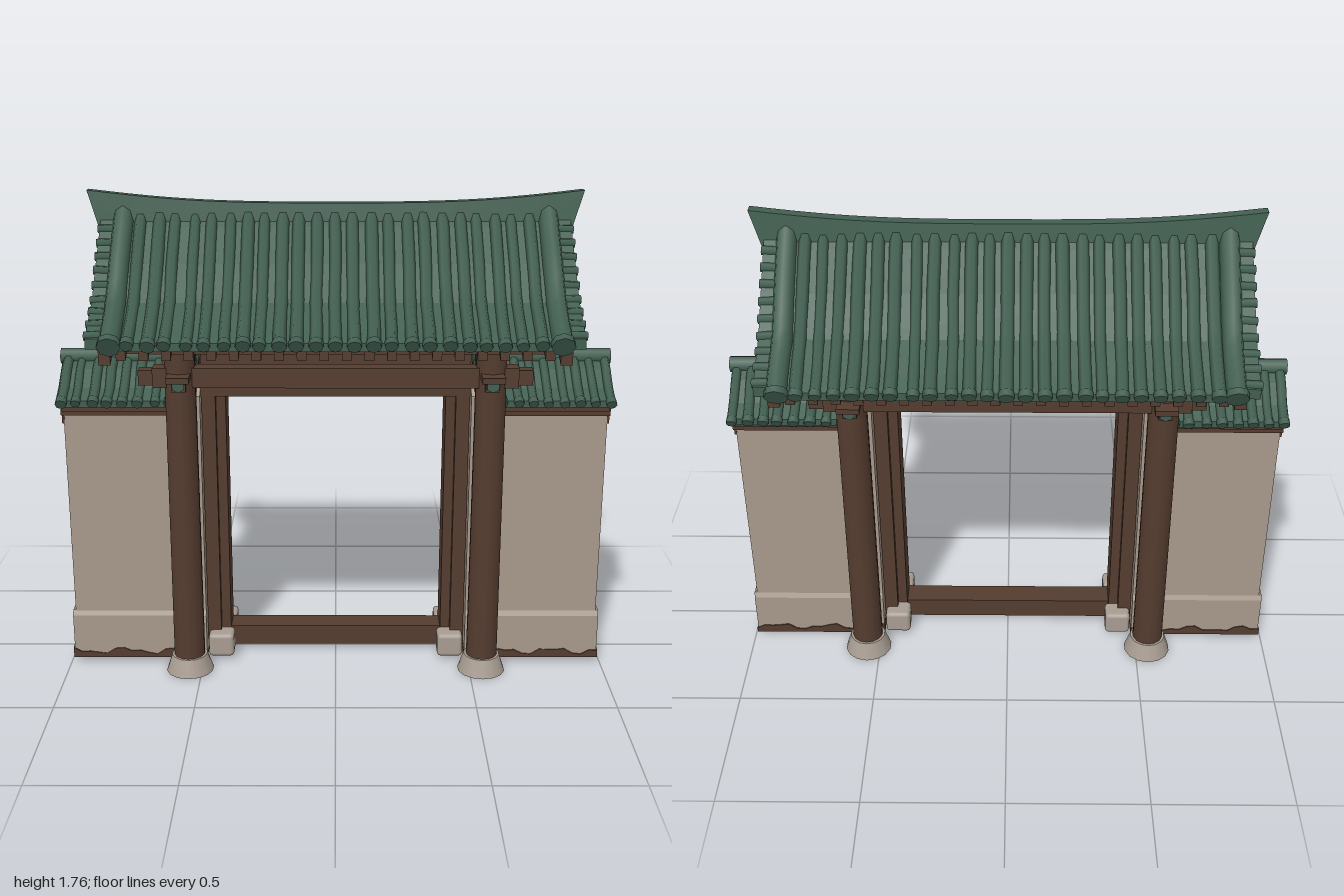
import * as THREE from 'three';
import { mergeGeometries } from 'three/addons/utils/BufferGeometryUtils.js';
import { RoundedBoxGeometry } from 'three/addons/geometries/RoundedBoxGeometry.js';

const mat = (name, color) => Object.assign(new THREE.MeshStandardMaterial({ color }), { name });
const SIDES = [-1, 1];

export function createModel() {
  const group = new THREE.Group();
  const tile = mat('greenTile', 0x425f51);
  const wood = mat('darkWood', 0x543c2f);
  const plaster = mat('plaster', 0xa89a8c);
  const stone = mat('stone', 0xa89d92);

  let seed = 7;
  const rnd = () => (seed = (seed * 16807) % 2147483647) / 2147483647 - 0.5;

  const add = (name, material, geos) => {
    const mesh = new THREE.Mesh(mergeGeometries(geos.map(g => (g.index ? g.toNonIndexed() : g))), material);
    mesh.name = name;
    group.add(mesh);
    return mesh;
  };
  // box given by its limits
  const box = (x0, x1, y0, y1, z0, z1) =>
    new THREE.BoxGeometry(Math.abs(x1 - x0), y1 - y0, Math.abs(z1 - z0))
      .translate((x0 + x1) / 2, (y0 + y1) / 2, (z0 + z1) / 2);
  // [z, y] outline pulled along x
  const extrudeX = (pts, xa, xb) => {
    const shape = new THREE.Shape(pts.map(p => new THREE.Vector2(p[0], p[1])));
    return new THREE.ExtrudeGeometry(shape, { depth: Math.abs(xb - xa), bevelEnabled: false })
      .rotateY(-Math.PI / 2).translate(Math.max(xa, xb), 0, 0);
  };
  // gabled sheet following a roof profile, between two depths below it
  const sheet = (prof, top, bottom, xa, xb, zMax) => {
    const half = prof.map(([z, y], i) => {
      if (z <= zMax) return [z, y];
      const [pz, py] = prof[i - 1];
      return [zMax, py + (y - py) * (zMax - pz) / (z - pz)];
    });
    const full = [...half.slice(1).reverse().map(([z, y]) => [-z, y]), ...half];
    return extrudeX([...full.map(([z, y]) => [z, y - top]),
      ...full.reverse().map(([z, y]) => [z, y - bottom])], xa, xb);
  };
  // round tile roll running down one slope, with an end disc
  const roll = (prof, x, side, r, sides = 6) => {
    const lean = rnd() * 0.008;
    const pts = prof.map(([z, y], i) =>
      new THREE.Vector3(x + lean * i / prof.length + rnd() * 0.003, y + rnd() * 0.004, side * z));
    const end = pts[pts.length - 1];
    return [
      new THREE.TubeGeometry(new THREE.CatmullRomCurve3(pts), 10, r, sides),
      new THREE.CylinderGeometry(r * 1.12, r * 1.12, 0.025, 8)
        .rotateX(Math.PI / 2 + side * 0.5).translate(end.x, end.y, end.z),
    ];
  };

  // ---- Main roof ----
  const P = [[0, 1.68], [0.05, 1.635], [0.167, 1.527], [0.284, 1.415], [0.4, 1.35], [0.47, 1.315]];
  add('roofTileBed', tile, [sheet(P, 0, 0.028, -0.72, 0.72, 0.465), 
    ...SIDES.map(s => sheet(P, -0.006, 0.03, s * 0.72, s * 0.825, 0.452))]);
  const rolls = [], verges = [], edgeTiles = [];
  for (const side of SIDES) {
    for (let i = 0; i < 23; i++) {
      rolls.push(...roll(P, -0.682 + i * 0.062 + rnd() * 0.01, side, 0.021 + rnd() * 0.005));
    }
    for (const s of SIDES) {
      verges.push(...roll(P, s * 0.747, side, 0.036, 8));
      // short tiles lying across the gable edge
      const curve = new THREE.CatmullRomCurve3(P.map(([z, y]) => new THREE.Vector3(0, y, side * z)));
      for (let k = 1; k < 10; k++) {
        const p = curve.getPointAt(k / 10 + 0.03);
        if (Math.abs(p.z) > 0.44) continue;
        edgeTiles.push(new THREE.CylinderGeometry(0.016, 0.016, 0.085, 6)
          .rotateZ(Math.PI / 2 + rnd() * 0.15).translate(s * 0.788, p.y + 0.002, p.z));
      }
    }
  }
  add('roofTileRolls', tile, rolls);
  add('vergeRolls', tile, verges);
  add('gableEdgeTiles', tile, edgeTiles);

  // ridge sweeping up into pointed ends
  const ridge = new THREE.BoxGeometry(1.66, 0.09, 0.056, 28, 2, 1);
  const rp = ridge.attributes.position;
  for (let i = 0; i < rp.count; i++) {
    const x = rp.getX(i), y = rp.getY(i), t = Math.abs(x) / 0.83;
    const up = (y + 0.045) / 0.09;
    rp.setXYZ(i, x * (1 + 0.05 * up * t ** 6), 1.67 + y + 0.045 * t ** 3 * up,
      rp.getZ(i) * (1.25 - 0.55 * up));
  }
  ridge.computeVertexNormals();
  add('roofRidge', tile, [ridge]);

  // boards, rafters and gable boards under the tiles
  add('roofBoards', wood, [sheet(P, 0.026, 0.046, -0.79, 0.79, 0.435)]);
  const rafters = [];
  for (let i = 0; i < 20; i++) {
    const x = -0.7125 + i * 0.075;
    rafters.push(sheet(P, 0.04, 0.085, x - 0.016, x + 0.016, 0.43));
  }
  add('rafters', wood, rafters);
  add('gableBoards', wood, SIDES.map(s => sheet(P, 0.03, 0.112, s * 0.75, s * 0.79, 0.415)));

  // ---- Columns and stone bases ----
  const columns = [], bases = [];
  for (const s of SIDES) for (const side of SIDES) {
    columns.push(new THREE.CylinderGeometry(0.054, 0.057, 1.33, 14).translate(s * 0.545, 0.715, side * 0.2));
    bases.push(new THREE.CylinderGeometry(0.066, 0.088, 0.065, 14).translate(s * 0.545, 0.0325, side * 0.2));
  }
  add('columns', wood, columns);
  add('columnBases', stone, bases);

  // ---- Beams, ties and bracket ends ----
  const beams = [], caps = [];
  const capX = (x, y, z, r) => caps.push(new THREE.CylinderGeometry(r, r, 0.012, 6).rotateZ(Math.PI / 2).translate(x, y, z));
  for (const side of SIDES) {
    const z = side * 0.2;
    beams.push(box(-0.64, 0.64, 1.1, 1.172, z - 0.03, z + 0.03));
    beams.push(box(-0.69, 0.69, 1.108, 1.162, z - 0.024, z + 0.024));
    beams.push(box(-0.7, 0.7, 1.285, 1.345, z - 0.028, z + 0.028));
    beams.push(box(-0.72, 0.72, 1.265, 1.31, side * 0.36, side * 0.4));
  }
  beams.push(box(-0.7, 0.7, 1.26, 1.34, -0.035, 0.035), box(-0.74, 0.74, 1.55, 1.62, -0.04, 0.04));
  for (const s of SIDES) {
    const x = s * 0.545;
    beams.push(box(x - 0.035, x + 0.035, 1.235, 1.32, -0.275, 0.275));   // upper tie
    beams.push(box(x - 0.028, x + 0.028, 1.275, 1.315, -0.4, 0.4));      // eave arm
    beams.push(box(x - 0.025, x + 0.025, 1.095, 1.15, -0.27, 0.27));     // lower tie
    beams.push(box(x - 0.04, x + 0.04, 1.135, 1.155, -0.305, 0.305));    // bracket plate
    beams.push(box(x - 0.04, x + 0.04, 1.06, 1.6, -0.05, 0.05));         // king post
    for (const side of SIDES) {
      beams.push(box(x - 0.035, x + 0.035, 1.1, 1.42, side * 0.108, side * 0.17));
      capX(s * 0.704, 1.315, side * 0.2, 0.025);
      caps.push(new THREE.CylinderGeometry(0.024, 0.024, 0.012, 6).rotateX(Math.PI / 2)
        .translate(x, 1.12, side * 0.273));
    }
    capX(s * 0.704, 1.3, 0, 0.028);
  }
  add('beamsAndTies', wood, beams);
  add('beamEndCaps', tile, caps);

  // ---- Door frame ----
  const frame = [box(-0.49, 0.49, 1.03, 1.1, -0.09, 0.09), box(-0.49, 0.49, 1.1, 1.18, -0.045, 0.045),
    box(-0.4, 0.4, 0.025, 0.102, -0.045, 0.045)];
  for (const s of SIDES) {
    frame.push(box(s * 0.435, s * 0.485, 0.05, 1.08, -0.09, 0.09));
    frame.push(box(s * 0.4, s * 0.445, 0.05, 1.05, -0.06, 0.06));
  }
  add('doorFrame', wood, frame);
  add('doorStones', stone, SIDES.flatMap(s => SIDES.map(side =>
    new RoundedBoxGeometry(0.095, 0.09, 0.085, 2, 0.015).translate(s * 0.433, 0.06, side * 0.095))));
  add('transomPanel', plaster, [box(-0.46, 0.46, 1.16, 1.38, -0.02, 0.02)]);

  // ---- Side walls ----
  const W = [[0, 1.16], [0.06, 1.125], [0.13, 1.073], [0.195, 1.04]];
  const walls = [], worn = [], gables = [], wallTiles = [], wallBoards = [];
  for (const s of SIDES) {
    walls.push(extrudeX([[-0.127, 0.1], [0.127, 0.1], [0.127, 1.04], [0, 1.11], [-0.127, 1.04]], s * 0.487, s * 0.978));
    walls.push(extrudeX([[-0.136, 0.02], [0.136, 0.02], [0.136, 0.185], [0.126, 0.205], [-0.126, 0.205], [-0.136, 0.185]],
      s * 0.487, s * 0.988));
    // bare footing with a ragged upper edge
    const foot = new THREE.BoxGeometry(0.506, 0.04, 0.28, 16, 1, 8).translate(s * 0.739, 0.035, 0);
    const fp = foot.attributes.position;
    for (let i = 0; i < fp.count; i++) {
      const x = fp.getX(i), z = fp.getZ(i);
      if (fp.getY(i) < 0.03) { fp.setY(i, 0.015); continue; }
      const atEnd = Math.max(0, (Math.abs(x) - 0.9) / 0.09);
      fp.setY(i, 0.042 + 0.01 * Math.sin(x * 31 + z * 9) + 0.007 * Math.sin(x * 67)
        + atEnd * (0.018 + 0.02 * Math.sin(z * 24 + 1)));
    }
    foot.computeVertexNormals();
    worn.push(foot);
    // gable trim around an arched plaster face
    gables.push(extrudeX([[-0.13, 0.94], [-0.13, 1.04], [0, 1.115], [0.13, 1.04], [0.13, 0.94], [0.118, 0.98],
      [0.09, 1.02], [0.05, 1.048], [0, 1.058], [-0.05, 1.05], [-0.095, 1.015], [-0.12, 0.975]], s * 0.976, s * 0.984));
    // small tiled roof
    wallTiles.push(sheet(W, 0, 0.025, s * 0.5, s * 0.99, 0.19));
    for (const side of SIDES) {
      for (let i = 0; i < 8; i++) {
        wallTiles.push(...roll(W, s * (0.972 - i * 0.055) + rnd() * 0.008, side, 0.017 + rnd() * 0.004));
      }
    }
    const top = new THREE.CylinderGeometry(0.03, 0.03, 0.5, 8).rotateZ(Math.PI / 2).translate(s * 0.748, 1.158, 0);
    wallTiles.push(top);
    wallBoards.push(sheet(W, 0.022, 0.055, s * 0.5, s * 0.975, 0.17));
    for (const side of SIDES) wallBoards.push(box(s * 0.5, s * 0.98, 0.98, 1.02, side * 0.12, side * 0.165));
  }
  add('sideWalls', plaster, walls);
  add('wallFootings', wood, worn);
  add('wallGableTrim', wood, gables);
  add('wallRoofTiles', tile, wallTiles);
  add('wallEaveBoards', wood, wallBoards);

  return group;
}
